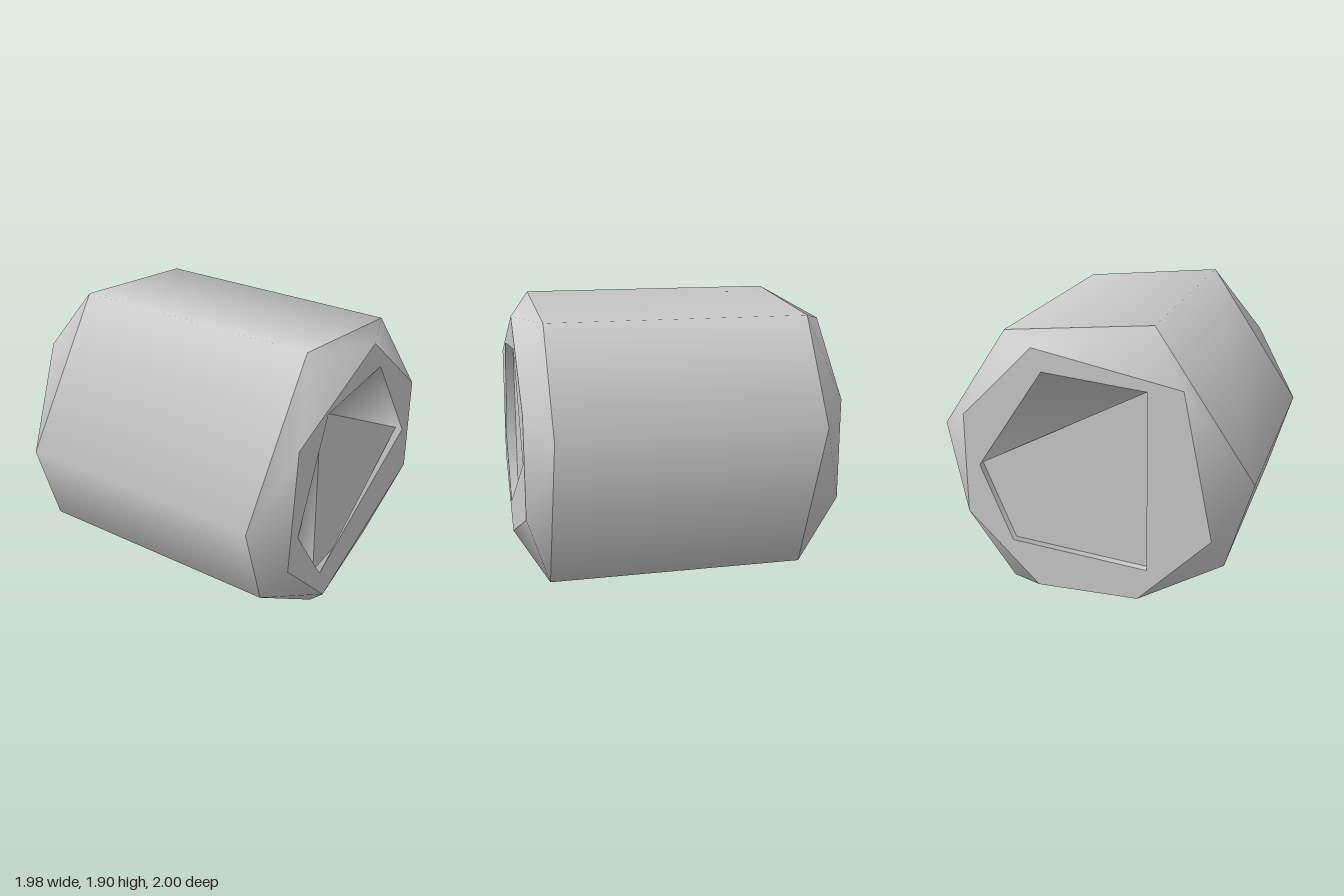
import * as THREE from 'three';

const CX = 0.0096, CY = 0.98; // position of the barrel axis
const rad = THREE.MathUtils.degToRad;

// A ring is a list of angles (degrees, anticlockwise seen from the front), a radius and a depth.
const ring = (angles, r, z) => ({ angles, r, z });
const points = ({ angles, r }) =>
  angles.map((a) => new THREE.Vector2(CX + r * Math.cos(rad(a)), CY + r * Math.sin(rad(a))));

// Skin between a front and a back ring that may have different corner counts.
// Normals are radial, tilted by nz, so the few facets shade as a round surface.
function loft(front, back, nz = 0, inward = false) {
  const pos = [], nor = [];
  const at = (g, i) => g.angles[i % g.angles.length] + 360 * Math.floor(i / g.angles.length);
  const put = (g, i) => {
    const a = rad(at(g, i)), c = Math.cos(a), s = Math.sin(a);
    pos.push(CX + g.r * c, CY + g.r * s, g.z);
    const k = inward ? -1 : 1;
    const n = new THREE.Vector3(c * k, s * k, nz).normalize();
    nor.push(n.x, n.y, n.z);
  };
  let i = 0, j = 0;
  while (i < front.angles.length || j < back.angles.length) {
    const stepFront = j >= back.angles.length ||
      (i < front.angles.length && at(front, i + 1) < at(back, j + 1));
    const tri = [[front, i], [back, j], stepFront ? [front, i + 1] : [back, j + 1]];
    if (inward) tri.reverse();
    tri.forEach(([g, n]) => put(g, n));
    if (stepFront) i++; else j++;
  }
  const geo = new THREE.BufferGeometry();
  geo.setAttribute('position', new THREE.Float32BufferAttribute(pos, 3));
  geo.setAttribute('normal', new THREE.Float32BufferAttribute(nor, 3));
  return geo;
}

// Flat end plate, optionally with an opening, facing +z or -z.
function plate(outer, hole, facing) {
  const shape = new THREE.Shape(points(outer));
  if (hole) shape.holes.push(new THREE.Path(points(hole)));
  const geo = new THREE.ShapeGeometry(shape);
  if (facing < 0) {
    const idx = geo.index.array;
    for (let t = 0; t < idx.length; t += 3) [idx[t], idx[t + 1]] = [idx[t + 1], idx[t]];
    geo.computeVertexNormals();
  }
  return geo.translate(0, 0, outer.z);
}

export function createModel() {
  const model = new THREE.Group();
  model.name = 'barrel';
  const grey = new THREE.MeshStandardMaterial({ color: 0xcccccc });
  grey.name = 'light grey';
  const add = (name, geo) => {
    const mesh = new THREE.Mesh(geo, grey);
    mesh.name = name;
    model.add(mesh);
  };

  const frontEdge = ring([11.25, 56.25, 112.5, 180, 213.75, 258.75, 303.75], 1, 0.84);
  const backEdge = ring([11.25, 56.25, 112.5, 180, 213.75, 303.75], 1, -0.84);
  const frontFace = ring([22.5, 78.75, 146.25, 202.5, 247.5, 337.5], 0.845, 1);
  const backFace = ring([22.5, 67.5, 135, 202.5, 247.5, 292.5, 337.5], 0.845, -1);
  const frontRim = ring([0, 67.5, 123.75, 191.25, 236.25], 0.69, 1);
  const backRim = ring([0, 67.5, 123.75, 236.25, 315], 0.69, -1);
  const frontBase = ring([0, 123.75, 236.25, 315], 0.69, 0.95);
  const backBase = ring([0, 123.75, 191.25, 236.25, 315], 0.69, -0.95);

  // Main body and bevelled ends
  add('body', loft(frontEdge, backEdge));
  add('frontBevel', loft(frontFace, frontEdge, 0.93));
  add('backBevel', loft(backEdge, backFace, -0.93));

  // End faces with shallow recesses, whose floors run under the rims
  add('frontFace', plate(frontFace, frontRim, 1));
  add('backFace', plate(backFace, backRim, -1));
  add('frontRecessWall', loft(frontRim, frontBase, 0, true));
  add('backRecessWall', loft(backBase, backRim, 0, true));
  add('frontRecessFloor', plate(frontBase, null, 1));
  add('backRecessFloor', plate(backBase, null, -1));

  return model;
}
